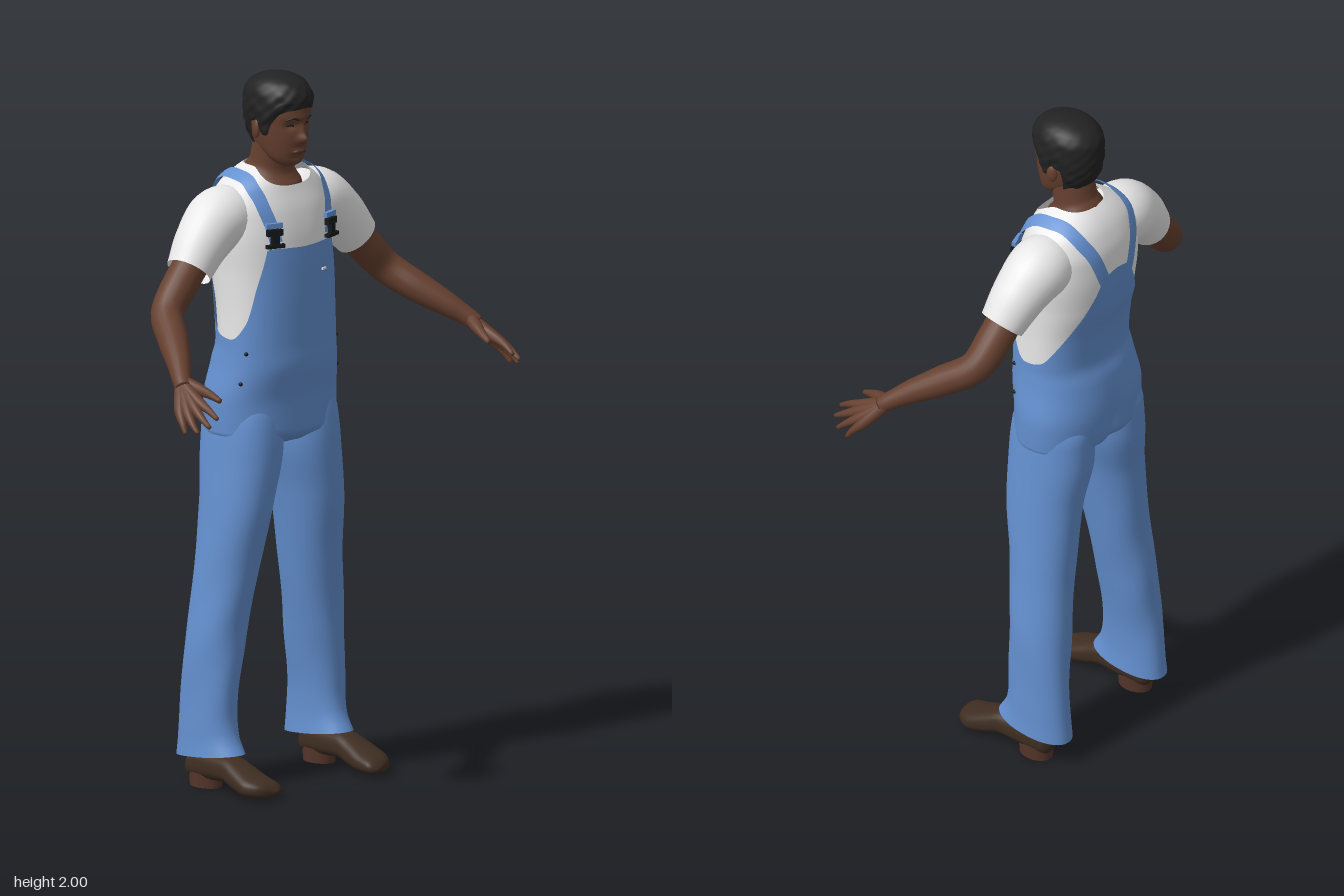
import * as THREE from 'three';

const mat = (name, color, side = THREE.DoubleSide) => {
  const m = new THREE.MeshStandardMaterial({ color, side });
  m.name = name;
  return m;
};
const V = (x, y, z) => new THREE.Vector3(x, y, z);
const bump = (d, s) => Math.exp(-((d / s) ** 2));
const spow = (v, e) => Math.sign(v) * Math.abs(v) ** e;

// Smooth monotone interpolation of rows [key, a, b, ...]
function sample(rows, t) {
  const n = rows.length;
  t = Math.min(Math.max(t, rows[0][0]), rows[n - 1][0]);
  let i = 0;
  while (i < n - 2 && t > rows[i + 1][0]) i++;
  const h = rows[i + 1][0] - rows[i][0], u = (t - rows[i][0]) / h;
  return rows[i].slice(1).map((a, c) => {
    const k = c + 1;
    const slope = (j) => (rows[j + 1][k] - rows[j][k]) / (rows[j + 1][0] - rows[j][0]);
    const tangent = (j) => {
      if (j === 0 || j === n - 1) return slope(j === 0 ? 0 : n - 2);
      const p = slope(j - 1), q = slope(j);
      return p * q <= 0 ? 0 : (2 * p * q) / (p + q);
    };
    const b = rows[i + 1][k], u2 = u * u, u3 = u2 * u;
    return a * (2 * u3 - 3 * u2 + 1) + b * (3 * u2 - 2 * u3) + h * (tangent(i) * (u3 - 2 * u2 + u) + tangent(i + 1) * (u3 - u2));
  });
}

// Grid surface from f(u, v); wrap closes it around u, caps close both ends
function grid(f, nu, nv, wrap = true, capStart = false, capEnd = false) {
  const cols = wrap ? nu : nu + 1, pos = [], idx = [];
  for (let j = 0; j <= nv; j++) for (let i = 0; i < cols; i++) pos.push(...f(i / nu, j / nv).toArray());
  for (let j = 0; j < nv; j++) for (let i = 0; i < nu; i++) {
    const a = j * cols + i, b = j * cols + ((i + 1) % cols);
    idx.push(a, b, b + cols, a, b + cols, a + cols);
  }
  const cap = (row, flip) => {
    const c = V(0, 0, 0), centre = pos.length / 3;
    for (let i = 0; i < cols; i++) c.add(V(...pos.slice((row * cols + i) * 3, (row * cols + i) * 3 + 3)));
    pos.push(...c.divideScalar(cols).toArray());
    for (let i = 0; i < cols; i++) {
      const a = row * cols + i, b = row * cols + ((i + 1) % cols);
      idx.push(centre, flip ? b : a, flip ? a : b);
    }
  };
  if (capStart) cap(0, true);
  if (capEnd) cap(nv, false);
  const g = new THREE.BufferGeometry();
  g.setAttribute('position', new THREE.Float32BufferAttribute(pos, 3));
  g.setIndex(idx);
  g.computeVertexNormals();
  return g;
}

// Round tapered tube through points [x, y, z, radius]
function limb(pts, nu = 20, caps = true, steps = 5) {
  const curve = new THREE.CatmullRomCurve3(pts.map((p) => V(p[0], p[1], p[2])));
  const radii = pts.map((p, i) => [i, p[3]]);
  return grid((u, v) => {
    const T = curve.getTangent(v), N = V(0, 0, 1).addScaledVector(T, -T.z).normalize(), B = T.clone().cross(N);
    const r = sample(radii, v * (pts.length - 1))[0], a = u * Math.PI * 2;
    return curve.getPoint(v).addScaledVector(N, r * Math.cos(a)).addScaledVector(B, r * Math.sin(a));
  }, nu, (pts.length - 1) * steps, true, caps, caps);
}

function mirrored(geo) {
  const g = geo.clone().scale(-1, 1, 1), ix = g.index.array;
  for (let i = 0; i < ix.length; i += 3) [ix[i + 1], ix[i + 2]] = [ix[i + 2], ix[i + 1]];
  g.computeVertexNormals();
  return g;
}

// Body rows: height, half width, front z, back z
const BODY = [[0.965, 0.13, -0.04, -0.18], [1, 0.198, 0.003, -0.247], [1.08, 0.2, 0.003, -0.252], [1.2, 0.182, 0.022, -0.235],
  [1.25, 0.177, 0.02, -0.22], [1.35, 0.175, 0.02, -0.23], [1.45, 0.178, 0.018, -0.252], [1.55, 0.185, 0.012, -0.26],
  [1.62, 0.182, 0, -0.256], [1.68, 0.157, -0.02, -0.238], [1.72, 0.11, -0.034, -0.213], [1.745, 0.07, -0.05, -0.185]];
function body(a, y, off = 0) {
  const [w, f, b] = sample(BODY, y);
  return V((w + off) * spow(Math.sin(a), 0.85), y, (f + b) / 2 + ((f - b) / 2 + off) * spow(Math.cos(a), 0.85));
}

// Head rows: height, half width, front z, back z
const HEAD = [[1.743, 0.018, -0.03, -0.07], [1.755, 0.04, -0.014, -0.09], [1.775, 0.055, -0.007, -0.12], [1.8, 0.064, 0, -0.155],
  [1.83, 0.07, 0.005, -0.175], [1.86, 0.074, 0.006, -0.183], [1.9, 0.076, 0.013, -0.189], [1.94, 0.073, 0.007, -0.187],
  [1.97, 0.058, -0.015, -0.165], [1.985, 0.036, -0.045, -0.135], [1.992, 0.012, -0.075, -0.105]];
function head(a, y, off = 0) {
  const [w, f, b] = sample(HEAD, y);
  const p = V((w + off) * Math.sin(a), y, (f + b) / 2 + ((f - b) / 2 + off) * Math.cos(a)), x = p.x;
  if (Math.cos(a) > 0) { // nose, bridge, eye sockets, brow, lips, chin
    p.z += 0.021 * bump(x, 0.013) * bump(y - 1.827, 0.014) + 0.01 * bump(x, 0.009) * bump(y - 1.853, 0.02)
      - 0.009 * bump(Math.abs(x) - 0.03, 0.014) * bump(y - 1.865, 0.011) + 0.003 * bump(x, 0.05) * bump(y - 1.886, 0.009)
      + 0.007 * bump(x, 0.02) * bump(y - 1.79, 0.009) + 0.005 * bump(x, 0.02) * bump(y - 1.761, 0.009);
  }
  return p;
}
const face = (x, y, off) => head(Math.asin(x / sample(HEAD, y)[0]), y, off);

// Upper edge of the overalls and lower edge of the hair, by angle from the front
const BIB = [[0, 1.525], [0.58, 1.53], [0.63, 1.525], [0.68, 1.5], [0.88, 1.42], [1.15, 1.315], [1.5, 1.27], [1.8, 1.28],
  [2.2, 1.35], [2.5, 1.43], [2.75, 1.5], [2.95, 1.56], [Math.PI, 1.57]];
const HAIRLINE = [[0, 1.914], [0.5, 1.91], [0.85, 1.9], [1.1, 1.87], [1.3, 1.835], [1.48, 1.835], [1.62, 1.875], [1.9, 1.865],
  [2.12, 1.8], [2.6, 1.785], [Math.PI, 1.785]];
// Leg rows: height, centre x, half width, front z, back z
const LEG = [[0.09, 0.204, 0.064, -0.025, -0.262], [0.14, 0.204, 0.06, -0.052, -0.256], [0.2, 0.203, 0.06, -0.06, -0.25],
  [0.4, 0.186, 0.073, -0.055, -0.237], [0.6, 0.158, 0.08, -0.035, -0.226], [0.8, 0.132, 0.088, -0.003, -0.23],
  [0.95, 0.108, 0.098, 0.005, -0.248], [1.04, 0.103, 0.094, -0.002, -0.246], [1.1, 0.1, 0.08, -0.02, -0.22]];
// Shoe rows: z, centre x, half width, top, bottom
const SHOE = [[-0.212, 0.213, 0.015, 0.065, 0.035], [-0.2, 0.213, 0.035, 0.09, 0.022], [-0.15, 0.213, 0.042, 0.105, 0.022],
  [-0.05, 0.214, 0.044, 0.102, 0.026], [0, 0.216, 0.05, 0.085, 0.012], [0.05, 0.216, 0.055, 0.064, 0.003],
  [0.09, 0.207, 0.045, 0.05, 0.006], [0.107, 0.197, 0.027, 0.038, 0.011], [0.113, 0.192, 0.008, 0.028, 0.018]];

export function createModel() {
  const root = new THREE.Group();
  root.name = 'workerInOveralls';
  const denim = mat('denim blue', 0x6490d0), shirt = mat('shirt white', 0xececec), skin = mat('skin brown', 0x66402f),
    hair = mat('hair black', 0x222222), leather = mat('shoe leather', 0x3f2e22), sole = mat('heel brown', 0x54352a),
    metal = mat('buckle black', 0x16181a), lip = mat('lip brown', 0x50302a);
  const add = (name, geo, m) => {
    const mesh = new THREE.Mesh(geo, m);
    mesh.name = name;
    root.add(mesh);
  };
  const pair = (name, geo, m) => {
    add(name + 'Left', geo, m);
    add(name + 'Right', mirrored(geo), m);
  };
  const TAU = Math.PI * 2, fold = (a) => (a > Math.PI ? TAU - a : a);
  const lerp = THREE.MathUtils.lerp;

  // Shirt body with a lower neckline at the front, and sleeves
  add('shirtBody', grid((u, v) => {
    const a = u * TAU, top = 1.742 - 0.05 * Math.max(0, Math.cos(a)) ** 2;
    return body(a, lerp(1.2, top, v));
  }, 72, 44), shirt);
  pair('sleeve', limb([[0.07, 1.6, -0.13, 0.07], [0.175, 1.605, -0.135, 0.089], [0.25, 1.555, -0.126, 0.078],
    [0.315, 1.48, -0.114, 0.064]], 28, false, 8), shirt);

  // Overalls: body with bib, legs, shoulder straps
  add('overallsBody', grid((u, v) => {
    const a = u * TAU, y = lerp(0.965, sample(BIB, fold(a))[0], v);
    const p = body(a, y, 0.006);
    if (p.z < -0.1) p.z += 0.014 * bump(p.x, 0.025) * bump(y - 1.04, 0.08);
    return p;
  }, 120, 44, true, true), denim);
  pair('trouserLeg', grid((u, v) => {
    const a = u * TAU, y = lerp(0.09, 1.1, v), [cx, w, f, b] = sample(LEG, y);
    const k = 1 + 0.015 * Math.sin(3 * a + y * 24) * bump(y - 0.35, 0.3);
    return V(cx + w * k * spow(Math.sin(a), 0.92), y + 0.014 * Math.cos(a) * (1 - v), (f + b) / 2 + ((f - b) / 2) * k * spow(Math.cos(a), 0.92));
  }, 40, 50, true, false, true), denim);
  const strapPath = new THREE.CatmullRomCurve3([[0.47, 1.545], [0.55, 1.6], [0.72, 1.66], [1.05, 1.7], [1.57, 1.715], [2.1, 1.71],
    [2.5, 1.68], [2.75, 1.63], [2.9, 1.56], [3.02, 1.5]].map(([a, y]) => V(a, y, 0)));
  pair('strap', grid((u, v) => {
    const q = strapPath.getPoint(v), p = body(q.x, q.y), e = 0.004;
    const da = body(q.x + e, q.y).sub(body(q.x - e, q.y)), dy = body(q.x, q.y + e).sub(body(q.x, q.y - e));
    const N = da.cross(dy).normalize(), t = strapPath.getTangent(v);
    const T = body(q.x + t.x * e, q.y + t.y * e).sub(p).normalize(), side = T.clone().cross(N).normalize();
    return p.addScaledVector(N, u === 0.5 ? 0.011 : 0.009).addScaledVector(side, (0.5 - u) * -0.038);
  }, 2, 50, false), denim);

  // Buckles, side buttons and pocket tag
  const box = (w, h, d, p) => new THREE.BoxGeometry(w, h, d).rotateY(0.3).translate(p.x, p.y, p.z);
  const at = (y) => body(0.49, y, 0.016);
  pair('buckleFrame', box(0.046, 0.018, 0.014, at(1.578)), metal);
  pair('buckleStem', box(0.022, 0.04, 0.012, at(1.556)), metal);
  pair('buckleBar', box(0.055, 0.01, 0.014, at(1.54)), metal);
  pair('strapLoop', box(0.05, 0.014, 0.012, at(1.597)), denim);
  for (const y of [1.235, 1.15]) {
    const p = body(1.12, y, 0.006);
    pair('sideButton', new THREE.SphereGeometry(0.006, 10, 8).translate(p.x, p.y, p.z), metal);
  }
  const tag = body(0.33, 1.45, 0.008);
  add('pocketTag', new THREE.BoxGeometry(0.018, 0.006, 0.004).rotateY(0.2).translate(tag.x, tag.y, tag.z), shirt);

  // Neck, head and face
  add('neck', limb([[0, 1.66, -0.125, 0.094], [0, 1.695, -0.125, 0.088], [0, 1.72, -0.122, 0.074], [0, 1.75, -0.115, 0.061],
    [0, 1.82, -0.1, 0.06]], 32), skin);
  add('head', grid((u, v) => head(u * TAU, lerp(1.743, 1.992, v)), 96, 64, true, true, true), skin);
  pair('ear', new THREE.SphereGeometry(1, 14, 10).scale(0.009, 0.026, 0.016).rotateY(0.3).translate(0.077, 1.85, -0.096), skin);
  const onFace = (pts, off, r) => limb(pts.map(([x, y]) => [...face(x, y, off).toArray(), r]), 8);
  pair('eyebrow', onFace([[0.015, 1.883], [0.03, 1.888], [0.046, 1.882]], 0, 0.003), hair);
  pair('eye', onFace([[0.021, 1.865], [0.03, 1.867], [0.039, 1.865]], -0.001, 0.0035), metal);
  add('mouth', onFace([[-0.022, 1.788], [-0.01, 1.791], [0, 1.79], [0.01, 1.791], [0.022, 1.788]], -0.001, 0.005), lip);

  // Short tousled hair
  add('hair', grid((u, v) => {
    const a = u * TAU, y = lerp(sample(HAIRLINE, fold(a))[0], 1.992, v);
    const rough = 0.0015 * (Math.sin(9 * a + y * 130) + Math.sin(14 * a - y * 190)) * (1 - v);
    const p = head(a, y, 0.003 + 0.008 * Math.min(1, v * 4) + rough);
    p.y += 0.008 * v;
    return p;
  }, 96, 36, true, false, true), hair);

  // Bare arms and hands
  pair('arm', limb([[0.28, 1.52, -0.12, 0.05], [0.345, 1.45, -0.115, 0.05], [0.41, 1.38, -0.098, 0.046], [0.457, 1.328, -0.025, 0.043],
    [0.505, 1.282, 0.05, 0.034], [0.54, 1.247, 0.1, 0.026], [0.552, 1.23, 0.122, 0.024]]), skin);
  const fingers = {
    index: [[0.556, 1.205, 0.185], [0.558, 1.188, 0.228], [0.556, 1.168, 0.262]],
    middle: [[0.573, 1.193, 0.184], [0.582, 1.168, 0.228], [0.583, 1.148, 0.26]],
    ring: [[0.586, 1.183, 0.17], [0.6, 1.155, 0.206], [0.604, 1.131, 0.234]],
    little: [[0.594, 1.177, 0.151], [0.607, 1.148, 0.177], [0.612, 1.124, 0.194]],
  };
  for (const [name, [k, m, t]] of Object.entries(fingers)) {
    pair(name + 'Finger', limb([[0.545, 1.24, 0.105, 0.02], [...k, 0.0155], [...m, 0.0105], [...t, 0.006]], 12), skin);
  }
  pair('thumb', limb([[0.54, 1.245, 0.11, 0.018], [0.525, 1.23, 0.15, 0.017], [0.513, 1.217, 0.187, 0.012], [0.505, 1.203, 0.22, 0.007]], 12), skin);

  // Shoes with separate heels
  pair('shoe', grid((u, v) => {
    const a = u * TAU, z = lerp(-0.212, 0.113, v), [cx, w, t, b] = sample(SHOE, z);
    return V(cx - w * spow(Math.sin(a), 0.8), (t + b) / 2 + ((t - b) / 2) * spow(Math.cos(a), 0.8), z);
  }, 32, 36, true, true, true), leather);
  pair('shoeHeel', new THREE.CylinderGeometry(0.04, 0.038, 0.04, 24).scale(1, 1, 1.35).translate(0.213, 0.02, -0.153), sole);
  return root;
}
